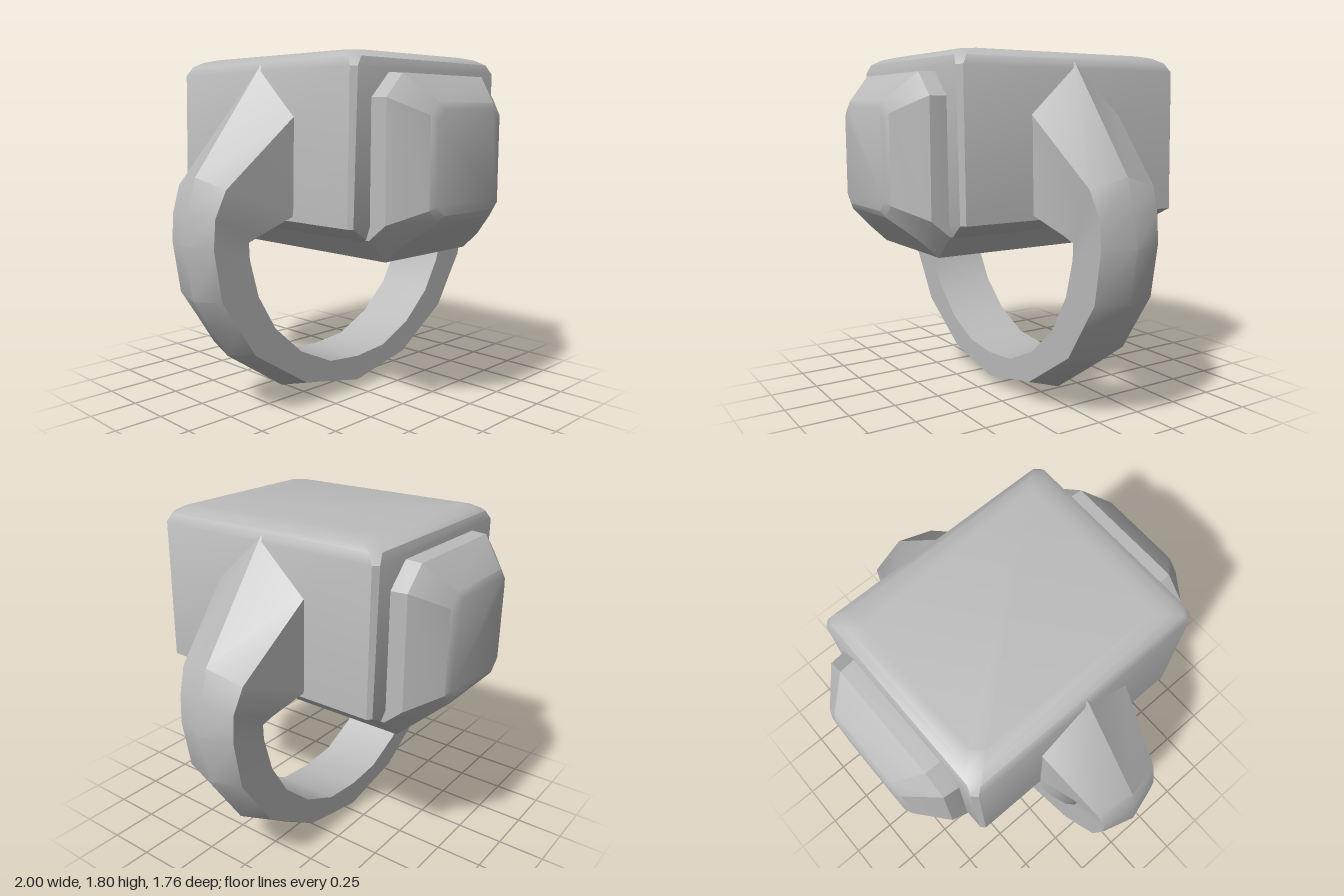
import * as THREE from 'three';
import { toCreasedNormals } from 'three/addons/utils/BufferGeometryUtils.js';

// Skin a series of closed cross-sections (counter-clockwise about the travel direction), capped at both ends
function loft(rings, crease) {
  const n = rings[0].length, last = (rings.length - 1) * n, index = [];
  for (let k = 0; k < rings.length - 1; k++) {
    for (let i = 0; i < n; i++) {
      const j = (i + 1) % n, a = k * n + i, b = k * n + j;
      index.push(a, b, b + n, a, b + n, a + n);
    }
  }
  for (let i = 1; i < n - 1; i++) {
    index.push(0, i + 1, i);
    index.push(last, last + i, last + i + 1);
  }
  const g = new THREE.BufferGeometry();
  g.setAttribute('position', new THREE.Float32BufferAttribute(rings.flat(2), 3));
  g.setIndex(index);
  return toCreasedNormals(g, crease);
}

// Rectangle with cut corners at depth z
const octagon = (z, hx, lo, hi, c) => [
  [hx, lo + c, z], [hx, hi - c, z], [hx - c, hi, z], [-hx + c, hi, z],
  [-hx, hi - c, z], [-hx, lo + c, z], [-hx + c, lo, z], [hx - c, lo, z],
];

export function createModel() {
  const model = new THREE.Group();
  const metal = new THREE.MeshStandardMaterial({ color: 0xbbbbbb });
  metal.name = 'greyMetal';
  const add = (name, geometry) => {
    const mesh = new THREE.Mesh(geometry, metal);
    mesh.name = name;
    model.add(mesh);
  };

  // Casing: [height, half width, half depth, corner cut], tapering in below and softened on top
  const casing = [
    [0.93, 0.43, 0.62, 0.02], [1.0, 0.552, 0.645, 0.02], [1.72, 0.537, 0.65, 0.025],
    [1.765, 0.515, 0.635, 0.04], [1.79, 0.475, 0.595, 0.05], [1.803, 0.42, 0.54, 0.05],
  ].map(([y, hx, hz, c]) => octagon(y, hx, -hz, hz, c));
  add('casing', loft(casing, 0.65).rotateX(-Math.PI / 2));

  // Faceted block through the casing: [depth, half width, bottom, top, corner cut]
  const half = [
    [0.64, 0.425, 0.82, 1.7, 0.115], [0.73, 0.415, 0.903, 1.695, 0.11],
    [0.865, 0.27, 1.02, 1.565, 0.06], [0.882, 0.235, 1.05, 1.53, 0.05],
  ];
  const block = [
    ...half.slice().reverse().map(([z, ...r]) => octagon(-z, ...r)),
    ...half.map((r) => octagon(...r)),
  ];
  add('facetedBlock', loft(block, 0.5));

  // Band from the bottom up one side: outer ridge x y, outer edge x y, inner edge x y, half width
  const stations = [
    [0, 0, 0, 0.05, 0, 0.185, 0.17],
    [0.41, 0.08, 0.385, 0.13, 0.21, 0.205, 0.17],
    [0.76, 0.32, 0.72, 0.35, 0.42, 0.305, 0.17],
    [0.86, 0.48, 0.815, 0.5, 0.59, 0.46, 0.17],
    [0.955, 0.63, 0.91, 0.645, 0.695, 0.64, 0.17],
    [1, 0.9, 0.95, 0.9, 0.745, 0.83, 0.17],
    [0.97, 1.07, 0.94, 1.04, 0.75, 0.91, 0.172],
    [0.925, 1.22, 0.89, 1.17, 0.7, 0.94, 0.19],
    [0.52, 1.755, 0.52, 1.52, 0.53, 1.035, 0.268],
    [0.45, 1.75, 0.45, 1.53, 0.45, 1.06, 0.268],
  ];
  const section = (side) => ([ox, oy, sx, sy, ix, iy, w]) => [
    [side * ix, iy, w], [side * sx, sy, w], [side * ox, oy, 0],
    [side * sx, sy, -w], [side * ix, iy, -w],
  ];
  const band = [...stations.slice(1).reverse().map(section(-1)), ...stations.map(section(1))];
  add('band', loft(band, 0.6));

  return model;
}
